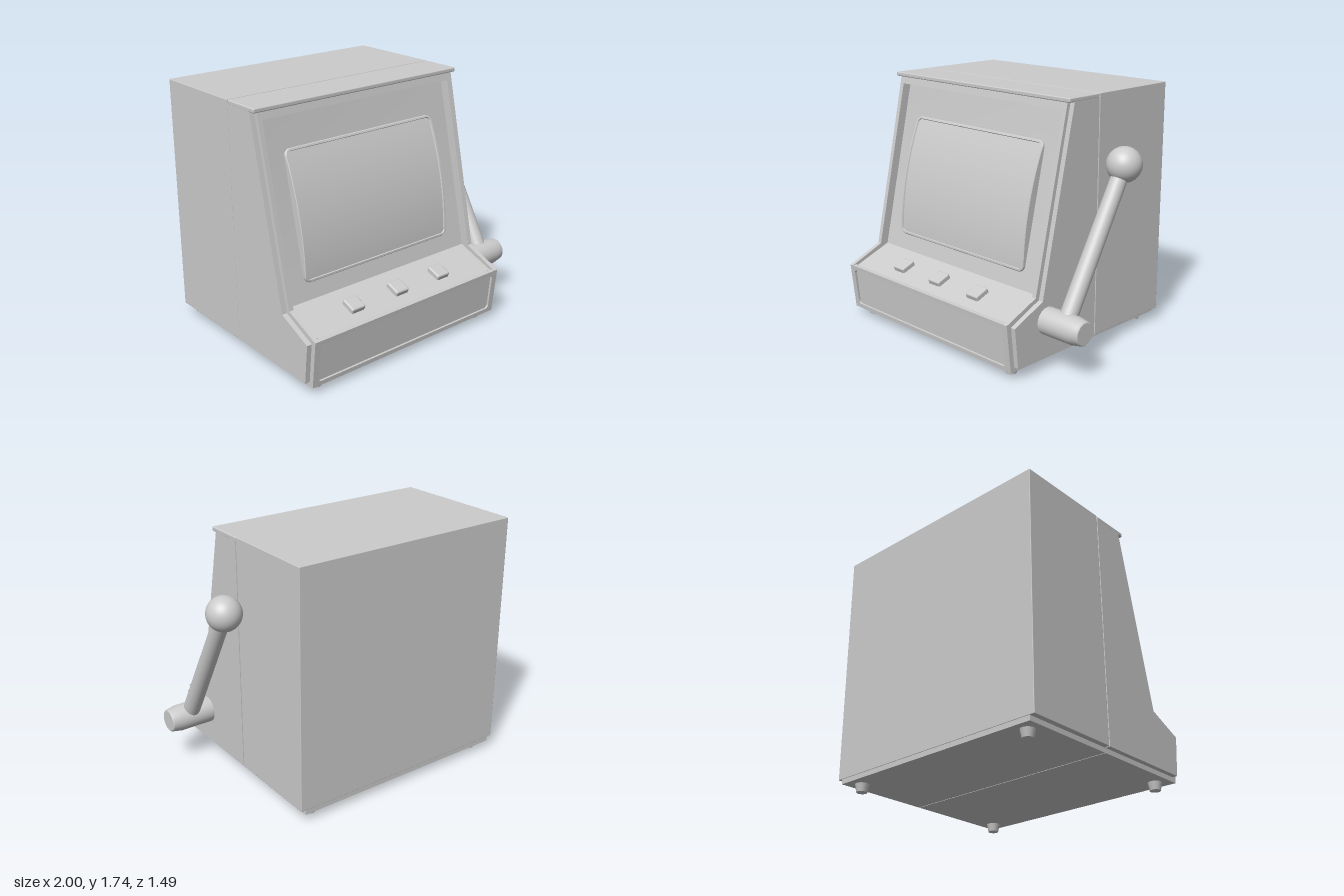
import * as THREE from 'three';
import { toCreasedNormals } from 'three/addons/utils/BufferGeometryUtils.js';
import { RoundedBoxGeometry } from 'three/addons/geometries/RoundedBoxGeometry.js';

const CX = -0.1575;      // cabinet centre in x
const HALF = 0.8425;     // cabinet half width
const RIM = 0.8075;      // half width over the front rims
const INNER = 0.775;     // half width between the rims
const material = new THREE.MeshStandardMaterial({ color: 0xcccccc });

export function createModel() {
  const model = new THREE.Group();

  const add = (name, geometry, x = 0, y = 0, z = 0, parent = model) => {
    const mesh = new THREE.Mesh(geometry, material);
    mesh.name = name;
    mesh.position.set(x, y, z);
    parent.add(mesh);
    return mesh;
  };

  // Plate from a side profile of [z, y] points, extruded along x and centred on x = 0
  const plate = (points, width, bevel = 0) => {
    const shape = new THREE.Shape(points.map(([z, y]) => new THREE.Vector2(z, y)));
    const g = new THREE.ExtrudeGeometry(shape, {
      depth: width - 2 * bevel, bevelEnabled: bevel > 0, bevelSize: bevel,
      bevelThickness: bevel, bevelOffset: -bevel, bevelSegments: 3,
    });
    g.translate(0, 0, bevel - width / 2);
    return toCreasedNormals(g.rotateY(-Math.PI / 2), 0.6);
  };

  // Group lying on the profile line a-b: local y runs from a to b, local z points outwards
  const slopeGroup = (name, a, b) => {
    const group = new THREE.Group();
    group.name = name;
    group.position.set(CX, (a[1] + b[1]) / 2, (a[0] + b[0]) / 2);
    group.rotation.x = Math.atan2(b[0] - a[0], b[1] - a[1]);
    model.add(group);
    return group;
  };

  // Outline of a rounded rectangle, counter-clockwise, with subdivided sides
  const roundedOutline = (w, h, r, sideSteps = 1) => {
    const corners = [[1, 1], [-1, 1], [-1, -1], [1, -1]];
    const points = [];
    corners.forEach(([sx, sy], c) => {
      const px = sx * (w / 2 - r), py = sy * (h / 2 - r);
      for (let i = 0; i <= 6; i++) {
        const a = (c + i / 6) * Math.PI / 2;
        points.push(new THREE.Vector2(px + r * Math.cos(a), py + r * Math.sin(a)));
      }
      const last = points[points.length - 1];
      const [nx, ny] = corners[(c + 1) % 4];
      const a = (c + 1) * Math.PI / 2;
      const next = new THREE.Vector2(nx * (w / 2 - r) + r * Math.cos(a), ny * (h / 2 - r) + r * Math.sin(a));
      for (let i = 1; i < sideSteps; i++) points.push(last.clone().lerp(next, i / sideSteps));
    });
    return points;
  };

  // Core with recessed front and a thin seam groove underneath
  const panelLow = [0.728, 0.37], panelHigh = [0.43, 0.485], screenTop = [0.162, 1.655];
  add('cabinetCore', plate([
    [-0.743, 0.055], [-0.054, 0.055], [-0.054, 0.062], [-0.048, 0.062], [-0.048, 0.055],
    [0.7, 0.055], panelLow, panelHigh, screenTop, [0.155, 1.72], [-0.743, 1.72],
  ], 2 * INNER), CX);

  // Raised rims and outer side plates, mirrored left and right
  const rimProfile = [[-0.743, 0.055], [-0.054, 0.055], [-0.054, 0.062], [-0.048, 0.062], [-0.048, 0.055],
    [0.713, 0.055], [0.748, 0.385], [0.49, 0.495], [0.215, 1.706], [-0.743, 1.706]];
  const sideProfile = [[-0.048, 0.088], [0.683, 0.088], [0.711, 0.363], [0.462, 0.475],
    [0.188, 1.71], [-0.048, 1.71]];
  for (const s of [-1, 1]) {
    add('frontRim', plate(rimProfile, RIM - INNER), CX + s * (RIM + INNER) / 2);
    add('sidePlate', plate(sideProfile, HALF - RIM), CX + s * (HALF + RIM) / 2);
  }

  // Rear shell, top cap with lip, and header above the screen
  add('rearShell', new RoundedBoxGeometry(2 * HALF, 1.647, 0.691, 2, 0.004), CX, 0.9115, -0.3995);
  add('topCap', new RoundedBoxGeometry(2 * HALF, 0.03, 0.283, 3, 0.008), CX, 1.72, 0.0935);
  add('header', plate([[0.1, 1.655], [0.2264, 1.655], [0.215, 1.706], [0.1, 1.706]], 2 * INNER), CX);

  // Lower front frame around a shallow recessed panel
  const lower = slopeGroup('lowerFront', [0.713, 0.055], [0.748, 0.385]);
  const frameShape = new THREE.Shape(roundedOutline(2 * INNER, 0.331, 0.002));
  frameShape.holes.push(new THREE.Path(roundedOutline(1.53, 0.27, 0.025)));
  add('lowerFrame', new THREE.ExtrudeGeometry(frameShape, { depth: 0.03, bevelEnabled: false }), 0, 0, -0.03, lower);

  // Button deck with an inlaid plate and three buttons
  const deck = slopeGroup('buttonDeck', panelLow, panelHigh);
  const inlay = new THREE.Shape(roundedOutline(1.53, 0.255, 0.025));
  add('deckInlay', new THREE.ExtrudeGeometry(inlay, { depth: 0.006, bevelEnabled: false }), 0, -0.014, 0, deck);
  for (const x of [-0.377, 0, 0.377])
    add('button', new RoundedBoxGeometry(0.11, 0.11, 0.05, 3, 0.012), x, -0.008, 0.016, deck);

  // Screen bulging about the x axis: rings of [inset, depth], then glass shrinking to the middle
  const W = 1.245, H = 0.862;
  const bulge = (y) => 0.045 * (1 - (2 * y / H) ** 2);
  const rings = [];
  const ring = (inset, depth, scale = 1) => rings.push(
    roundedOutline(W - 2 * inset, H - 2 * inset, 0.045 - inset, 16).map((p) => {
      const y = p.y * scale;
      return [p.x * scale, y, depth === null ? -0.01 : depth + bulge(y)];
    }));
  ring(0, null);
  ring(0, 0.008);
  ring(0.004, 0.013);
  ring(0.016, 0.013);
  ring(0.02, 0.004);
  for (let i = 1; i <= 14; i++) ring(0.02, 0.004, Math.max(1 - i / 14, 0.001));
  const n = rings[0].length, index = [];
  for (let k = 0; k < rings.length - 1; k++)
    for (let i = 0; i < n; i++) {
      const j = (i + 1) % n, a = k * n, b = a + n;
      index.push(a + i, a + j, b + j, a + i, b + j, b + i);
    }
  const screen = new THREE.BufferGeometry();
  screen.setAttribute('position', new THREE.Float32BufferAttribute(rings.flat(2), 3));
  screen.setIndex(index);
  const face = slopeGroup('screenPanel', panelHigh, screenTop);
  add('screen', toCreasedNormals(screen, 0.5), 0, -0.056, 0, face);

  // Lever on the left side: tapered hub, arm and ball
  const hubY = 0.335, hubZ = 0.418, armX = 0.833;
  const hub = [[0, 0.66], [0.092, 0.66], [0.092, 0.925], [0.079, 0.993], [0.072, 1], [0, 1]]
    .map(([r, x]) => new THREE.Vector2(r, x));
  add('leverHub', toCreasedNormals(new THREE.LatheGeometry(hub, 40).rotateZ(-Math.PI / 2), 0.4), 0, hubY, hubZ);
  const from = new THREE.Vector3(armX, hubY, hubZ), to = new THREE.Vector3(armX, 1.285, -0.13);
  const arm = add('leverArm', new THREE.CylinderGeometry(0.056, 0.06, from.distanceTo(to), 32));
  arm.position.copy(from).lerp(to, 0.5);
  arm.rotation.x = Math.atan2(to.z - from.z, to.y - from.y);
  add('leverBall', new THREE.SphereGeometry(0.118, 40, 28), to.x, to.y, to.z);

  // Feet
  for (const x of [-0.87, 0.555])
    for (const z of [0.615, -0.65])
      add('foot', new THREE.CylinderGeometry(0.048, 0.036, 0.06, 24), x, 0.03, z);

  return model;
}
